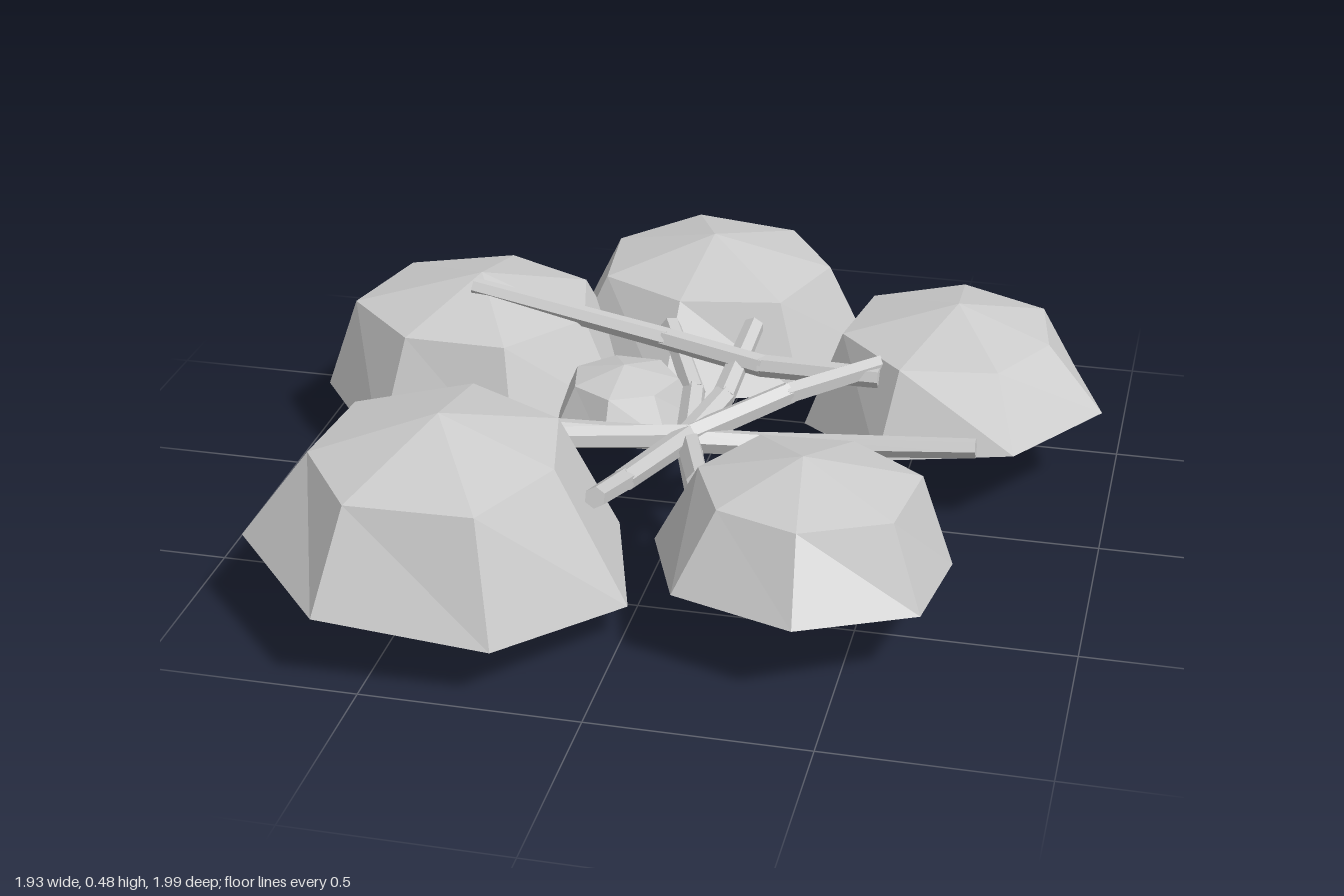
import * as THREE from 'three';

const material = new THREE.MeshStandardMaterial({ color: 0xcccccc, flatShading: true });
const UP = new THREE.Vector3(0, 1, 0);
const MID = 0.243; // height of every clump's centre

// Faceted seven-sided foliage clump: a leaning wide ring, an uneven upper ring (ratios of r), two tips
function clump({ x, z, r, phase, ring, gx, gz, upper }) {
  const half = 0.535 * r;
  const profile = [[0, -half], [r, ring - MID], [r, 0.64 * half], [0, half]].map((q) => new THREE.Vector2(...q));
  const geometry = new THREE.LatheGeometry(profile, 7, Math.PI / 2 - THREE.MathUtils.degToRad(phase));
  const p = geometry.attributes.position;
  for (let i = 0; i < p.count; i++) {
    const level = i % 4;
    const side = (7 - Math.floor(i / 4)) % 7;
    const px = p.getX(i), pz = p.getZ(i);
    if (level === 1) p.setY(i, p.getY(i) + gx * px + gz * pz);
    if (level === 2) {
      p.setX(i, px * upper[side]);
      p.setZ(i, pz * upper[side]);
    }
  }
  geometry.computeVertexNormals();
  const mesh = new THREE.Mesh(geometry, material);
  mesh.position.set(x, MID, z);
  return mesh;
}

// Bent six-sided branch, tapering a little away from the hub
function branch(points) {
  const group = new THREE.Group();
  const hub = new THREE.Vector3(0.03, 0.24, 0.12);
  const radius = (v) => 0.031 - 0.008 * Math.min(1, v.distanceTo(hub) / 0.7);
  const path = points.map((q) => new THREE.Vector3(...q));
  for (let i = 0; i < path.length - 1; i++) {
    const a = path[i], b = path[i + 1];
    const dir = b.clone().sub(a);
    const geometry = new THREE.CylinderGeometry(radius(b), radius(a), dir.length() + 0.008, 6);
    const mesh = new THREE.Mesh(geometry, material);
    mesh.name = 'branchSegment';
    mesh.position.copy(a).add(b).multiplyScalar(0.5);
    mesh.quaternion.setFromUnitVectors(UP, dir.normalize());
    group.add(mesh);
  }
  return group;
}

export function createModel() {
  const model = new THREE.Group();
  model.name = 'lowShrub';

  // Foliage clumps; upper lists the upper ring's corners from the phase angle round towards +z
  const clumps = {
    backFoliage: {
      x: -0.065, z: -0.615, r: 0.403, phase: -6, ring: 0.165, gx: 0, gz: 0,
      upper: [0.74, 0.76, 0.66, 0.72, 0.72, 0.8, 0.74],
    },
    backRightFoliage: {
      x: -0.58, z: -0.255, r: 0.395, phase: 12, ring: 0.15, gx: -0.03, gz: -0.1,
      upper: [0.72, 0.74, 0.72, 0.8, 0.78, 0.74, 0.72],
    },
    backLeftFoliage: {
      x: 0.6, z: -0.355, r: 0.372, phase: 9, ring: 0.165, gx: 0.12, gz: 0.06,
      upper: [0.62, 0.69, 0.75, 0.76, 0.76, 0.76, 0.7],
    },
    frontRightFoliage: {
      x: -0.43, z: 0.58, r: 0.45, phase: 9, ring: 0.138, gx: -0.12, gz: 0.04,
      upper: [0.62, 0.76, 0.73, 0.65, 0.7, 0.74, 0.66],
    },
    frontLeftFoliage: {
      x: 0.375, z: 0.5, r: 0.345, phase: -20, ring: 0.155, gx: -0.03, gz: 0.1,
      upper: [0.78, 0.76, 0.67, 0.66, 0.7, 0.73, 0.69],
    },
    smallFoliage: {
      x: -0.165, z: -0.05, r: 0.178, phase: -10, ring: 0.2, gx: 0, gz: 0,
      upper: [0.74, 0.7, 0.74, 0.72, 0.74, 0.72, 0.74],
    },
  };
  for (const [name, spec] of Object.entries(clumps)) {
    const mesh = clump(spec);
    mesh.name = name;
    model.add(mesh);
  }

  // Branches crossing near the hub
  const branches = {
    highBranch: [[-0.58, 0.44, -0.195], [-0.1, 0.35, -0.195], [0.15, 0.32, -0.155], [0.44, 0.33, -0.13]],
    sideBranch: [[-0.61, 0.27, 0.14], [-0.33, 0.26, 0.175], [0.03, 0.24, 0.12], [0.21, 0.23, 0.08], [0.7, 0.265, 0.062]],
    diagonalBranch: [[0.44, 0.35, -0.16], [0.24, 0.31, -0.04], [0.03, 0.25, 0.12], [-0.25, 0.29, 0.27]],
    frontBranch: [[-0.045, 0.375, 0.69], [-0.04, 0.3, 0.46], [0.03, 0.25, 0.12], [0.08, 0.28, -0.05], [0.1, 0.35, -0.31]],
    crossBranch: [[0.12, 0.29, 0.41], [0.03, 0.24, 0.12], [0, 0.27, -0.08], [-0.11, 0.33, -0.31]],
    trunk: [[0.03, 0.24, 0.12], [0.11, 0.11, 0.3]],
  };
  for (const [name, points] of Object.entries(branches)) {
    const group = branch(points);
    group.name = name;
    model.add(group);
  }
  return model;
}
